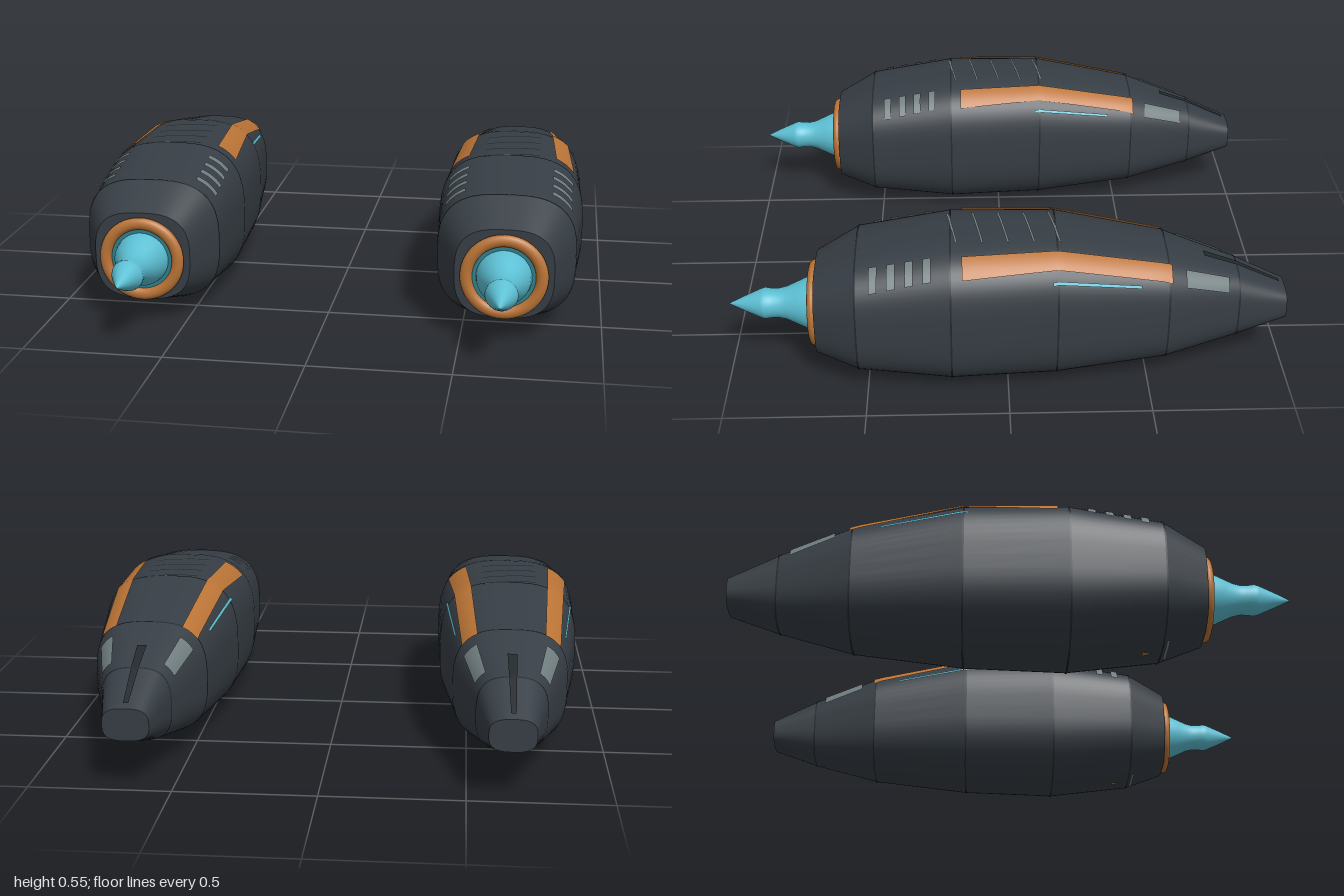
import * as THREE from 'three';

const mat = (name, color, side = THREE.FrontSide) => {
  const m = new THREE.MeshStandardMaterial({ color, side });
  m.name = name;
  return m;
};

// Hull stations from nose (exhaust) to tail: z, half width, bottom, top
const STATIONS = [
  [0.68, 0.175, 0.09, 0.415],
  [0.53, 0.247, 0.042, 0.495],
  [0.2, 0.27, 0.004, 0.55],
  [-0.17, 0.257, 0.016, 0.55],
  [-0.56, 0.203, 0.057, 0.475],
  [-0.82, 0.121, 0.117, 0.382],
  [-1.0, 0.081, 0.18, 0.295],
];
const POWER = 2.9;

// Half width, half height and centre height of the hull at z
function section(z) {
  let i = 0;
  while (i < STATIONS.length - 2 && z < STATIONS[i + 1][0]) i++;
  const a = STATIONS[i], b = STATIONS[i + 1];
  const t = (z - a[0]) / (b[0] - a[0]);
  const [w, lo, hi] = [1, 2, 3].map((k) => a[k] + (b[k] - a[k]) * t);
  return { w, h: (hi - lo) / 2, c: (hi + lo) / 2 };
}

// Point on the rounded-square section by angle
function hullPoint(z, angle, off = 0) {
  const { w, h, c } = section(z);
  const f = (v) => Math.sign(v) * Math.abs(v) ** (2 / POWER);
  return [(w + off) * f(Math.cos(angle)), c + (h + off) * f(Math.sin(angle)), z];
}

// Point on the upper (side = 1) or lower (side = -1) hull by x
function skinPoint(z, x, off, side) {
  const { w, h, c } = section(z);
  const r = Math.min(Math.abs(x) / (w + off), 1);
  return [x, c + side * (h + off) * (1 - r ** POWER) ** (1 / POWER), z];
}

// Surface from a function of u, v
function grid(fn, nu, nv, wrap = false) {
  const pos = [], idx = [], cols = wrap ? nv : nv + 1;
  for (let i = 0; i <= nu; i++)
    for (let j = 0; j < cols; j++) pos.push(...fn(i / nu, j / nv));
  for (let i = 0; i < nu; i++)
    for (let j = 0; j < nv; j++) {
      const k = (j + 1) % cols;
      const a = i * cols + j, b = i * cols + k, c = a + cols, d = b + cols;
      idx.push(a, b, c, b, d, c);
    }
  const g = new THREE.BufferGeometry();
  g.setAttribute('position', new THREE.Float32BufferAttribute(pos, 3));
  g.setIndex(idx);
  g.computeVertexNormals();
  return g;
}

const loft = (z0, z1, off = 0) =>
  grid((u, v) => hullPoint(z0 + (z1 - z0) * u, v * Math.PI * 2, off), 1, 64, true);

// Thin plate following the hull: inner/outer x at z0, then at z1 (z0 < z1)
function plate(z0, z1, [a0, b0], [a1, b1], { off = 0.006, skew = 0, side = 1 } = {}) {
  return grid((u, v) => {
    const a = a0 + (a1 - a0) * u, b = b0 + (b1 - b0) * u;
    const x = b + (a - b) * v;
    return skinPoint(z0 + (z1 - z0) * u + skew * (v - 0.5), x, off, side);
  }, 20, 8);
}

export function createModel() {
  const hull = mat('charcoal hull', 0x363d44);
  const dark = mat('dark seam', 0x23282d, THREE.DoubleSide);
  const orange = mat('copper orange', 0xbb7436, THREE.DoubleSide);
  const grey = mat('vent grey', 0x6f7c7e, THREE.DoubleSide);
  const teal = mat('flame teal', 0x5cbfd3, THREE.DoubleSide);
  const deepTeal = mat('deep teal', 0x2f7f8c);

  const pod = new THREE.Group();
  const add = (name, geo, material) => {
    const m = new THREE.Mesh(geo, material);
    m.name = name;
    pod.add(m);
    return m;
  };

  // Hull segments with crisp seams between them
  for (let i = 0; i < STATIONS.length - 1; i++) {
    add('hullSegment', loft(STATIONS[i + 1][0], STATIONS[i][0]), hull);
    if (i > 0) add('hullSeam', loft(STATIONS[i][0] - 0.003, STATIONS[i][0] + 0.003, 0.002), dark);
  }

  // Flat caps at both ends
  for (const [z, name] of [[0.68, 'frontCap'], [-1, 'tailCap']]) {
    const pts = [];
    for (let i = 0; i < 64; i++) {
      const p = hullPoint(z, (i / 64) * Math.PI * 2);
      pts.push(new THREE.Vector2(z > 0 ? p[0] : -p[0], p[1]));
    }
    const g = new THREE.ShapeGeometry(new THREE.Shape(pts));
    if (z < 0) g.rotateY(Math.PI);
    g.translate(0, 0, z);
    add(name, g, hull);
  }

  // Exhaust ring, glowing disc and flame
  const ring = add('exhaustRing', new THREE.TorusGeometry(0.133, 0.022, 16, 48), orange);
  ring.position.set(0, 0.245, 0.69);
  ring.scale.z = 0.8;
  const disc = add('exhaustDisc', new THREE.CylinderGeometry(0.118, 0.118, 0.012, 48), deepTeal);
  disc.rotation.x = Math.PI / 2;
  disc.position.set(0, 0.245, 0.685);
  const profile = [[0.098, 0.69], [0.094, 0.715], [0.076, 0.755], [0.06, 0.79], [0.053, 0.82],
    [0.054, 0.85], [0.057, 0.868], [0.053, 0.882], [0.028, 0.94], [0, 1]]
    .map(([r, z]) => new THREE.Vector2(r, z));
  const flame = add('flame', new THREE.LatheGeometry(profile, 40), teal);
  flame.rotation.x = Math.PI / 2;
  flame.position.y = 0.245;

  // Mirrored shoulder details
  for (const s of [-1, 1]) {
    const span = (a, b) => (s > 0 ? [a, b] : [-b, -a]);
    add('shoulderStripe', plate(-0.57, 0.16, span(0.12, 0.175), span(0.163, 0.232)), orange);
    add('sideLight', plate(-0.46, -0.15, span(0.196, 0.201), span(0.232, 0.238)), teal);
    add('rearPanel', plate(-0.78, -0.62, span(0.092, 0.128), span(0.122, 0.168)), grey);
    for (let i = 0; i < 4; i++) {
      const z = 0.28 + i * 0.062;
      add('sideVent', plate(z - 0.014, z + 0.014, span(0.155, 0.228), span(0.155, 0.228)), grey);
    }
  }

  // Slanted slits along the back
  for (let i = 0; i < 5; i++) {
    const z = -0.165 + i * 0.09;
    add('topSlit', plate(z - 0.004, z + 0.004, [-0.105, 0.1], [-0.105, 0.1], { off: 0.004, skew: 0.032 }), grey);
  }

  // Tail spine
  add('tailSpine', plate(-0.98, -0.7, [-0.009, 0.009], [-0.017, 0.017], { off: 0.005 }), dark);

  // Belly markings near the exhaust
  add('bellySlit', plate(0.54, 0.552, [-0.08, 0.08], [-0.08, 0.08], { side: -1 }), grey);
  add('bellyMark', plate(0.46, 0.495, [-0.018, 0.018], [-0.002, 0.002], { side: -1 }), orange);

  // Matching pair
  const model = new THREE.Group();
  model.name = 'podPair';
  const other = pod.clone();
  pod.name = 'leftPod';
  other.name = 'rightPod';
  pod.position.x = 0.65;
  other.position.x = -0.65;
  model.add(pod, other);
  return model;
}
